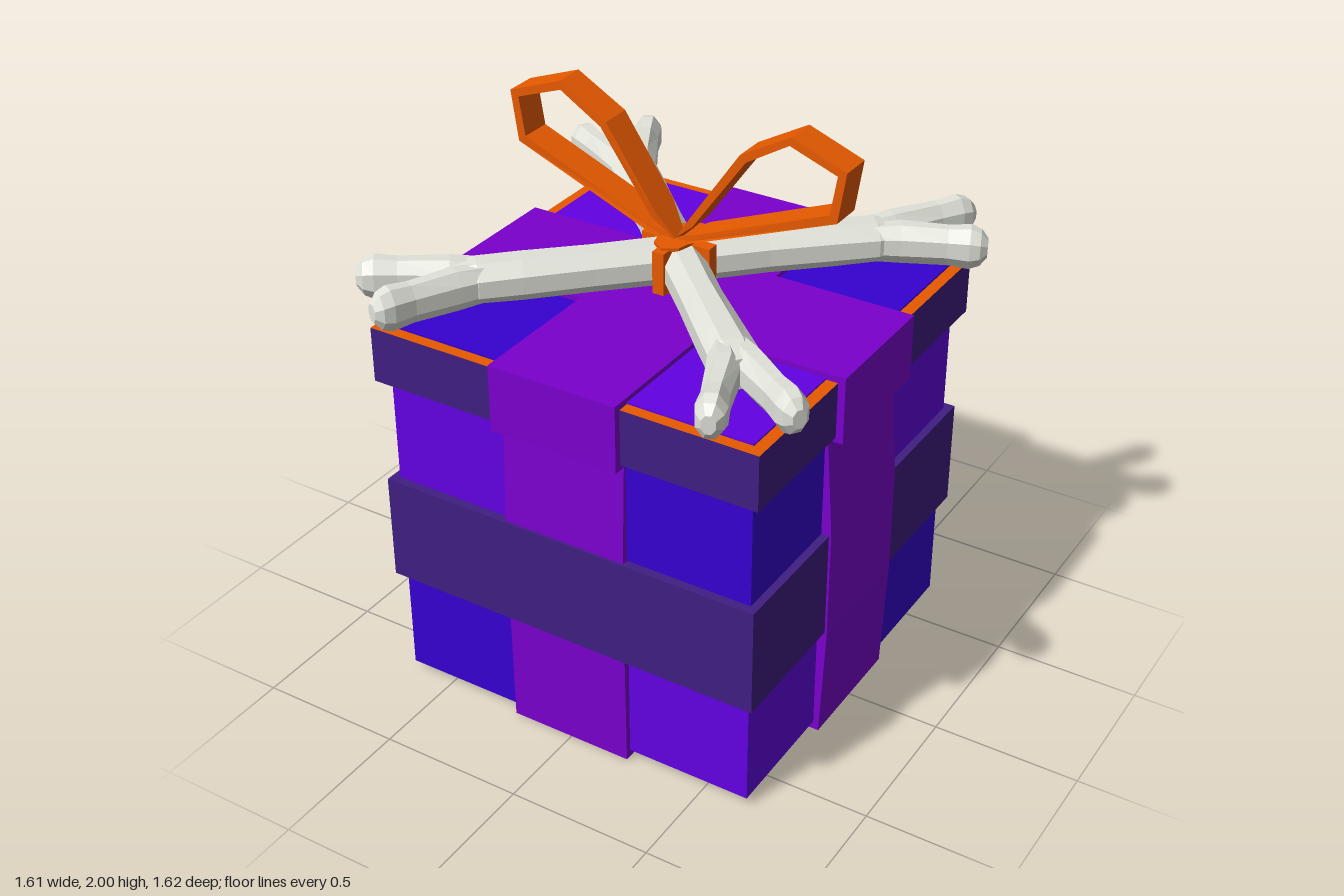
import * as THREE from 'three';

const mat = (name, color) => {
  const m = new THREE.MeshStandardMaterial({ color, flatShading: true });
  m.name = name;
  return m;
};

export function createModel() {
  const violet = mat('violet paper', 0x6200e3);
  const blue = mat('blue paper', 0x3600cf);
  const ribbon = mat('purple ribbon', 0x7a00cd);
  const dark = mat('dark band', 0x401e82);
  const orange = mat('orange trim', 0xe85a00);
  const bone = mat('pale bone', 0xe0e2d9);

  const model = new THREE.Group();
  model.name = 'giftBox';

  const add = (name, geo, material, parent = model) => {
    const m = new THREE.Mesh(geo, material);
    m.name = name;
    parent.add(m);
    return m;
  };
  // Box given by its lower and upper corners
  const box = (name, a, b, material, parent) => {
    const geo = new THREE.BoxGeometry(b[0] - a[0], b[1] - a[1], b[2] - a[2]);
    geo.translate((a[0] + b[0]) / 2, (a[1] + b[1]) / 2, (a[2] + b[2]) / 2);
    return add(name, geo, material, parent);
  };
  // Box centred on the vertical axis, given by half widths
  const centred = (name, hx, hz, y0, y1, material, parent) =>
    box(name, [-hx, y0, -hz], [hx, y1, hz], material, parent);
  const span = (s, h) => (s > 0 ? [0, h] : [-h, 0]);

  // Chequered body: two tiers of four corner blocks, with swapped colours underneath
  const body = new THREE.Group();
  body.name = 'body';
  model.add(body);
  for (const sx of [-1, 1]) for (const sz of [-1, 1]) for (const tier of [0, 1]) {
    const isBlue = (sx * sz > 0) === (tier === 1);
    const side = isBlue ? blue : violet, cap = isBlue ? violet : blue;
    const [x0, x1] = span(sx, 0.657), [z0, z1] = span(sz, 0.657);
    box('bodyBlock', [x0, tier ? 0.595 : 0.03, z0], [x1, tier ? 1.16 : 0.595, z1],
      [side, side, cap, cap, side, side], body);
  }

  // Ribbons round the body, slightly swollen at the middle; the side one passes over the belt
  const wrap = (name, bulge, y0) => {
    const half = [[0.676, y0], [bulge, 0.4], [bulge, 0.79], [0.665, 1.16]];
    const mirrored = half.map(([x, y]) => [-x, y]).reverse();
    const shape = new THREE.Shape([...half, ...mirrored].map((p) => new THREE.Vector2(...p)));
    const geo = new THREE.ExtrudeGeometry(shape, { depth: 0.44, bevelEnabled: false });
    geo.translate(0, 0, -0.22);
    return add(name, geo, ribbon);
  };
  wrap('sideRibbon', 0.692, 0);
  wrap('frontBackRibbon', 0.68, 0.004).rotation.y = Math.PI / 2;
  centred('belt', 0.684, 0.688, 0.41, 0.785, dark);

  // Lid with an orange top, chequered panels and crossing ribbons
  const lid = new THREE.Group();
  lid.name = 'lid';
  model.add(lid);
  centred('lidRim', 0.695, 0.695, 1.157, 1.348, [dark, dark, orange, dark, dark, dark], lid);
  for (const sx of [-1, 1]) for (const sz of [-1, 1]) {
    const [x0, x1] = span(sx, 0.655), [z0, z1] = span(sz, 0.655);
    box('lidPanel', [x0, 1.347, z0], [x1, 1.354, z1], sx * sz > 0 ? violet : blue, lid);
  }
  centred('lidRibbonFrontBack', 0.227, 0.72, 1.14, 1.37, ribbon, lid);
  centred('lidRibbonSides', 0.72, 0.227, 1.14, 1.37, ribbon, lid);

  // Eight-sided limb through rings [x, z, halfWidth, halfHeight] in a level plane
  const limb = (rings, y) => {
    const N = 8, pos = [], idx = [];
    rings.forEach(([x, z, w, h], i) => {
      const p = rings[Math.max(i - 1, 0)], q = rings[Math.min(i + 1, rings.length - 1)];
      const len = Math.hypot(q[0] - p[0], q[1] - p[1]);
      const nx = -(q[1] - p[1]) / len, nz = (q[0] - p[0]) / len;
      for (let k = 0; k < N; k++) {
        const a = ((k + 0.5) / N) * Math.PI * 2;
        const c = Math.cos(a) * w * 1.08, s = Math.sin(a) * h * 1.08;
        pos.push(x + nx * c, y + s, z + nz * c);
      }
    });
    for (let i = 0; i < rings.length - 1; i++) for (let k = 0; k < N; k++) {
      const a = i * N + k, b = i * N + (k + 1) % N;
      idx.push(a, a + N, b, b, a + N, b + N);
    }
    const e = (rings.length - 1) * N;
    for (let k = 1; k < N - 1; k++) {
      idx.push(0, k, k + 1);
      idx.push(e, e + k + 1, e + k);
    }
    const geo = new THREE.BufferGeometry();
    geo.setAttribute('position', new THREE.Float32BufferAttribute(pos, 3));
    geo.setIndex(idx);
    geo.computeVertexNormals();
    return geo;
  };

  // Crossed bones: four arms, each forking into two knobbed tips
  const bones = new THREE.Group();
  bones.name = 'crossedBones';
  model.add(bones);
  const forks = [
    [[0.79, 0.64], [0.59, 0.8]],
    [[0.8, -0.58], [0.65, -0.79]],
    [[-0.62, -0.8], [-0.79, -0.6]],
    [[-0.79, 0.63], [-0.6, 0.79]],
  ];
  for (const tips of forks) {
    const sx = Math.sign(tips[0][0]), sz = Math.sign(tips[0][1]);
    add('boneShaft', limb([
      [-0.03 * sx, -0.03 * sz, 0.07, 0.072], [0.2 * sx, 0.2 * sz, 0.067, 0.07],
      [0.36 * sx, 0.355 * sz, 0.074, 0.071], [0.46 * sx, 0.45 * sz, 0.078, 0.068],
      [0.53 * sx, 0.51 * sz, 0.045, 0.05],
    ], 1.472), bone, bones);
    for (const [tx, tz] of tips) {
      // Each fork leaves the shaft on its own side, then runs to the tip
      const out = Math.abs(tx) > Math.abs(tz);
      const mx = (out ? 0.54 : 0.48) * sx, mz = (out ? 0.475 : 0.53) * sz;
      const at = (t, w, h) => [mx + (tx - mx) * t, mz + (tz - mz) * t, w, h];
      add('boneTip', limb([
        [0.36 * sx, 0.35 * sz, 0.03, 0.05], at(0, 0.052, 0.067), at(0.55, 0.043, 0.064),
        at(0.8, 0.048, 0.071), at(0.92, 0.042, 0.058), at(1, 0.022, 0.03),
      ], 1.472), bone, bones);
    }
  }

  // Knot: straps through the gaps between the arms, with flared ends
  const knot = new THREE.Group();
  knot.name = 'knot';
  model.add(knot);
  centred('knotStrapFront', 0.021, 0.125, 1.4, 1.546, orange, knot);
  centred('knotStrapSide', 0.125, 0.021, 1.4, 1.546, orange, knot);
  for (const [y, flare] of [[1.547, 0.065], [1.398, 0.05]]) {
    const plate = new THREE.CylinderGeometry(1, 1, 0.012, 8);
    plate.scale(flare, 1, 0.105);
    plate.translate(0, y, 0);
    add('knotPlate', plate, orange, knot);
  }

  // Bow: two faceted ribbon loops, pinched at the knot
  const bow = new THREE.Group();
  bow.name = 'bow';
  model.add(bow);
  const outer = [[0, 1.535], [0.06, 1.556], [0.572, 1.76], [0.598, 1.93], [0.41, 2],
    [0.237, 1.902], [0.06, 1.642], [0, 1.555]];
  const inner = [[0.03, 1.571], [0.07, 1.588], [0.546, 1.782], [0.568, 1.913], [0.405, 1.972],
    [0.258, 1.882], [0.07, 1.616]];
  for (const s of [-1, 1]) {
    const points = (list) => list.map(([x, y]) => new THREE.Vector2(s * x, y));
    const hole = points(inner);
    if (s < 0) hole.reverse();
    const shape = new THREE.Shape(points(outer));
    shape.holes.push(new THREE.Path(hole));
    const geo = new THREE.ExtrudeGeometry(shape, { depth: 0.11, bevelEnabled: false });
    geo.translate(0, 0, s > 0 ? -0.073 : -0.063);
    const p = geo.attributes.position;
    for (let i = 0; i < p.count; i++) {
      if (Math.abs(p.getX(i)) < 0.05) p.setZ(i, p.getZ(i) * 0.5);
    }
    geo.computeVertexNormals();
    add(s > 0 ? 'leftBowLoop' : 'rightBowLoop', geo, orange, bow);
  }

  return model;
}
